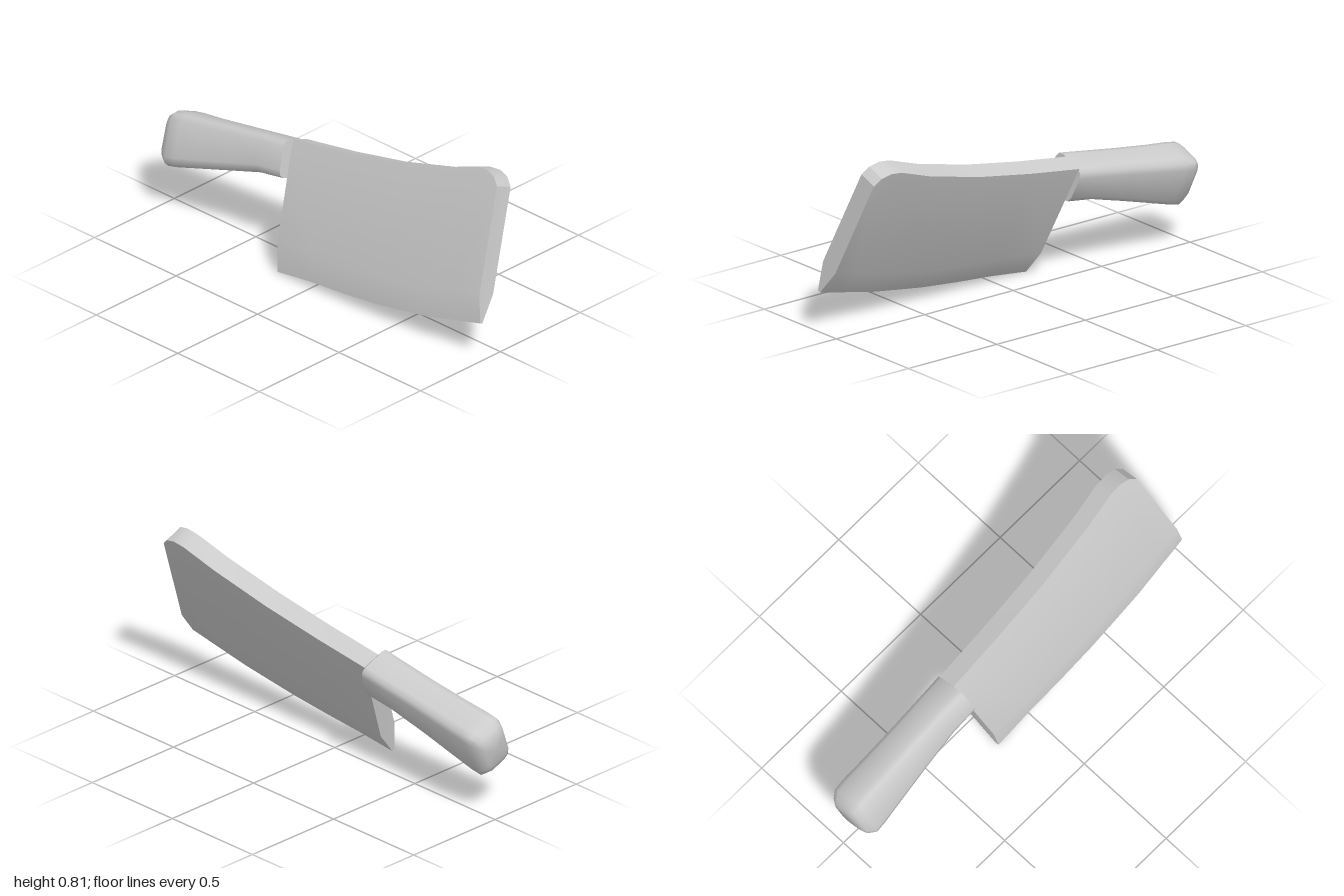
import * as THREE from 'three';
import { toCreasedNormals } from 'three/addons/utils/BufferGeometryUtils.js';

const material = new THREE.MeshStandardMaterial({ color: 0xcccccc });

// The cleaver leans sideways: n runs through the blade thickness, u up along its face.
const SIN = 0.378, COS = 0.926;
const tilted = (n, u, z) => new THREE.Vector3(n * COS + u * SIN, u * COS - n * SIN, z);

// Skin a row of closed sections (counterclockwise seen from +z, ordered towards +z).
function loft(rings, crease) {
  const pos = [];
  const tri = (...pts) => pts.forEach((p) => pos.push(p.x, p.y, p.z));
  const count = rings[0].length;
  const middle = (ring) =>
    ring.reduce((sum, p) => sum.add(p), new THREE.Vector3()).divideScalar(count);
  const first = rings[0], last = rings[rings.length - 1];
  const back = middle(first), front = middle(last);
  for (let j = 0; j < count; j++) {
    const k = (j + 1) % count;
    for (let i = 0; i < rings.length - 1; i++) {
      const a = rings[i], b = rings[i + 1];
      tri(a[j], a[k], b[k]);
      tri(a[j], b[k], b[j]);
    }
    tri(back, first[k], first[j]);
    tri(front, last[j], last[k]);
  }
  const geometry = new THREE.BufferGeometry();
  geometry.setAttribute('position', new THREE.Float32BufferAttribute(pos, 3));
  return toCreasedNormals(geometry, crease);
}

// Blade: columns from heel to nose, each with spine, bevel line and cutting edge as [z, y].
function bladeGeometry() {
  const spine = [[-0.29, 0.548], [0, 0.593], [0.3, 0.65], [0.6, 0.728],
    [0.77, 0.788], [0.83, 0.795], [0.88, 0.782], [0.913, 0.75]];
  const bevel = [[-0.215, 0.125], [0, 0.147], [0.2, 0.164], [0.4, 0.184],
    [0.55, 0.212], [0.7, 0.243], [0.85, 0.278], [0.983, 0.311]];
  const edge = [[-0.2, 0.005], [0, 0.03], [0.2, 0.047], [0.4, 0.069],
    [0.55, 0.093], [0.7, 0.118], [0.85, 0.154], [1, 0.19]];
  const at = ([z, y], half) => {
    const n = -0.158 - 0.025 * z; // slight yaw of the blade plane
    return tilted(n + half, (y + n * SIN) / COS, z);
  };
  const T = 0.046, E = 0.008;
  const rings = spine.map((s, i) => [
    at(s, T), at(s, -T), at(bevel[i], -T), at(edge[i], -E), at(edge[i], E), at(bevel[i], T),
  ]);
  return loft(rings, 0.4);
}

// Handle: rounded rectangular sections that flare towards the butt.
function handleGeometry() {
  // z at top, z at bottom, centre n, half width, bottom u, top u, corner size
  const sections = [
    [-1.0, -0.978, -0.143, 0.058, 0.225, 0.372, 0.03],
    [-0.985, -0.965, -0.143, 0.076, 0.2, 0.4, 0.036],
    [-0.955, -0.925, -0.143, 0.092, 0.177, 0.424, 0.04],
    [-0.9, -0.87, -0.144, 0.093, 0.19, 0.435, 0.04],
    [-0.78, -0.76, -0.148, 0.09, 0.224, 0.45, 0.038],
    [-0.6, -0.59, -0.155, 0.086, 0.276, 0.478, 0.036],
    [-0.42, -0.4, -0.162, 0.086, 0.334, 0.506, 0.034],
    [-0.288, -0.262, -0.167, 0.088, 0.356, 0.526, 0.034],
  ];
  const corners = [[1, 1], [-1, 1], [-1, -1], [1, -1]];
  const rings = sections.map(([zTop, zBottom, n, half, low, high, c]) => {
    const mid = (low + high) / 2, tall = (high - low) / 2;
    const ring = [];
    corners.forEach(([sx, sy], q) => {
      for (let s = 0; s <= 2; s++) {
        const a = (q + s / 2) * Math.PI / 2;
        const du = sy * (tall - c) + c * Math.sin(a);
        const z = THREE.MathUtils.lerp(zBottom, zTop, (du / tall + 1) / 2);
        ring.push(tilted(n + sx * (half - c) + c * Math.cos(a), mid + du, z));
      }
    });
    return ring;
  });
  return loft(rings, 0.85);
}

export function createModel() {
  const model = new THREE.Group();
  model.name = 'cleaver';
  const parts = { blade: bladeGeometry(), handle: handleGeometry() };
  for (const [name, geometry] of Object.entries(parts)) {
    const mesh = new THREE.Mesh(geometry, material);
    mesh.name = name;
    model.add(mesh);
  }
  return model;
}
